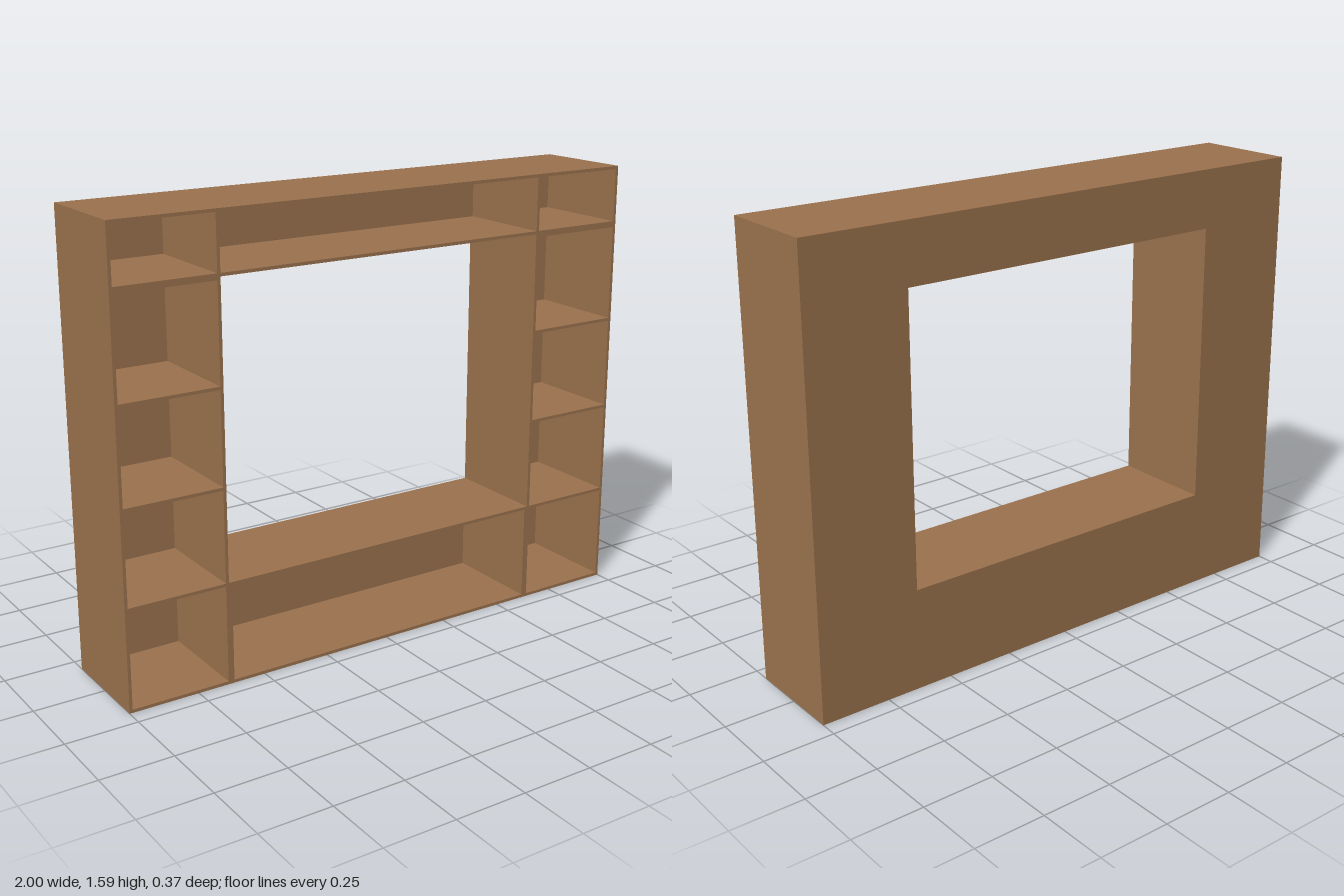
import * as THREE from 'three';

export function createModel() {
  const model = new THREE.Group();
  const wood = new THREE.MeshStandardMaterial({ color: 0x9c734e });
  wood.name = 'brown wood';

  const T = 0.011;                    // board thickness
  const H = 1.59, D = 0.187;          // height, half depth
  const IN = 0.628;                   // half width of the opening
  const LOW = 0.363, HIGH = 1.38;     // bottom and top of the opening
  const Z0 = -D + T;                  // front of the back panel

  // Board given by its front rectangle, reaching from back panel to front edge
  function board(name, x0, x1, y0, y1, parent = model) {
    const mesh = new THREE.Mesh(new THREE.BoxGeometry(x1 - x0, y1 - y0, D - Z0), wood);
    mesh.position.set((x0 + x1) / 2, (y0 + y1) / 2, (D + Z0) / 2);
    mesh.name = name;
    parent.add(mesh);
  }

  // Back panel with the opening cut out
  const panel = new THREE.Shape([[-1, 0], [1, 0], [1, H], [-1, H]].map(p => new THREE.Vector2(...p)));
  panel.holes.push(new THREE.Path([[-IN, LOW], [-IN, HIGH], [IN, HIGH], [IN, LOW]].map(p => new THREE.Vector2(...p))));
  const back = new THREE.Mesh(new THREE.ExtrudeGeometry(panel, { depth: T, bevelEnabled: false }), wood);
  back.position.z = -D;
  back.name = 'backPanel';
  model.add(back);

  // Full-width boards
  board('bottomBoard', -1, 1, 0, T);
  board('topBoard', -1, 1, H - T, H);
  board('bridgeBottom', -1, 1, HIGH, HIGH + T);

  // Left and right columns with shelves
  for (const [side, s] of [['left', 1], ['right', -1]]) {
    const column = new THREE.Group();
    column.name = side + 'Column';
    model.add(column);
    const add = (name, a, b, y0, y1) => board(name, Math.min(a * s, b * s), Math.max(a * s, b * s), y0, y1, column);
    add('outerSide', 1 - T, 1, T, HIGH);
    add('innerSide', IN, IN + T, T, HIGH);
    add('columnTop', IN + T, 1 - T, HIGH - T, HIGH);
    for (const y of [LOW - T, 0.685, 1.02]) add('shelf', IN + T, 1 - T, y, y + T);
    // Top row side and divider
    add('bridgeSide', 1 - T, 1, HIGH + T, H - T);
    add('bridgeDivider', IN, IN + T, HIGH + T, H - T);
    // Side of the low middle unit
    add('lowUnitSide', IN - T, IN, T, LOW - T);
  }

  // Top of the low middle unit
  board('lowUnitTop', -IN, IN, LOW - T, LOW);

  return model;
}
